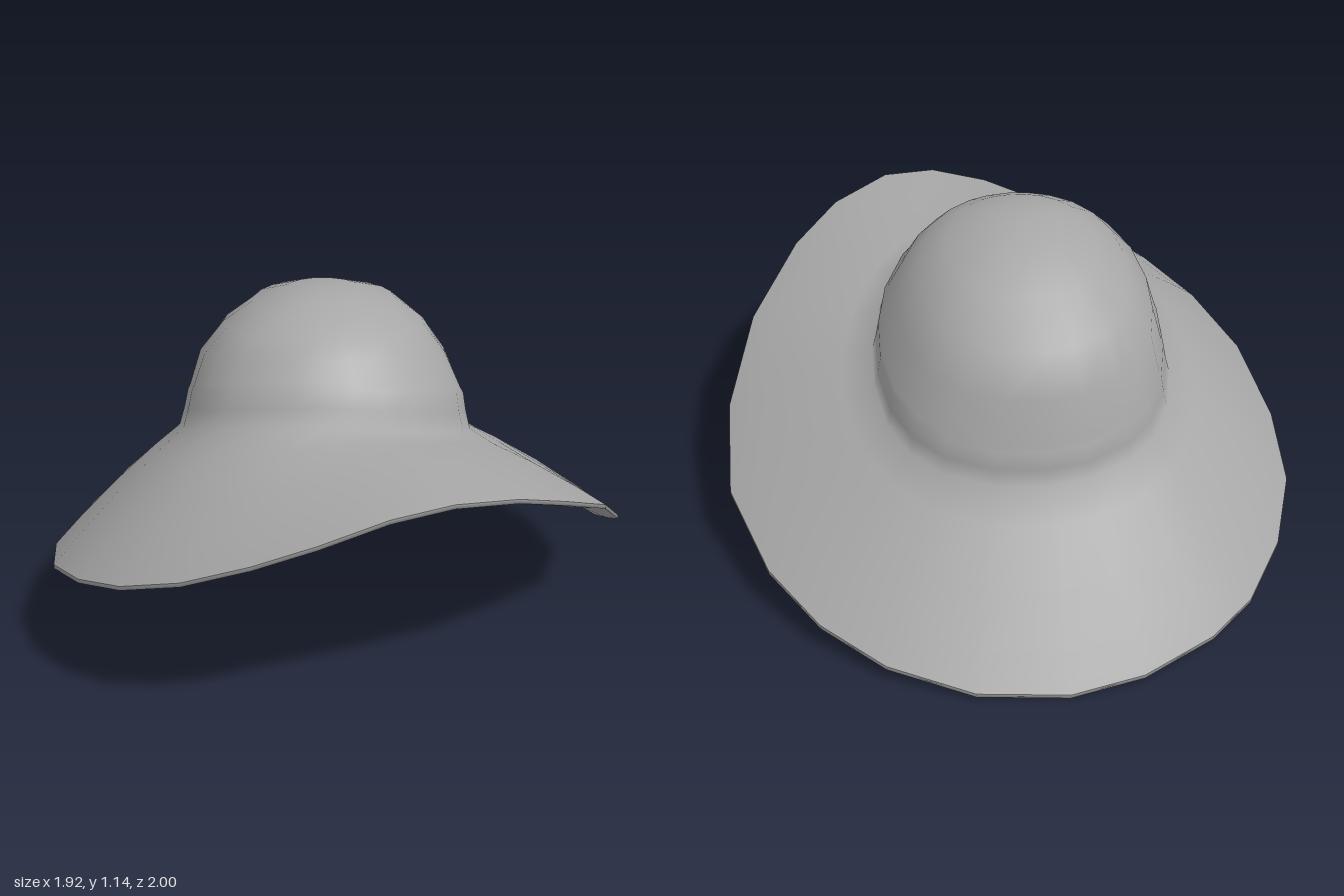
import * as THREE from 'three';
import { mergeVertices } from 'three/addons/utils/BufferGeometryUtils.js';

// Brim edge, going back -> left -> front -> right: x, y, z
const RIM = [
  [-0.09, 0, -1], [0.2, 0.015, -0.98], [0.47, 0.05, -0.87], [0.67, 0.1, -0.72],
  [0.83, 0.165, -0.52], [0.955, 0.26, -0.22], [0.96, 0.38, 0.1], [0.87, 0.56, 0.38],
  [0.71, 0.7, 0.64], [0.56, 0.78, 0.79], [0.37, 0.82, 0.91], [0.19, 0.8, 0.97],
  [-0.01, 0.73, 1], [-0.2, 0.65, 0.98], [-0.41, 0.56, 0.92], [-0.61, 0.47, 0.79],
  [-0.77, 0.395, 0.62], [-0.9, 0.31, 0.38], [-0.96, 0.22, 0.07], [-0.95, 0.155, -0.22],
  [-0.86, 0.1, -0.48], [-0.72, 0.06, -0.7], [-0.57, 0.035, -0.83], [-0.33, 0.01, -0.95],
].map((p) => new THREE.Vector3(...p));

// Tilted rings: back z, back y, front z, front y, min x, max x, sag at the sides
const CROWN = [
  [-0.04, 1.143, -0.04, 1.143, -0.04, -0.04, 0],
  [-0.2, 1.12, 0.1, 1.137, -0.16, 0.08, 0],
  [-0.36, 1.06, 0.2, 1.112, -0.27, 0.2, 0],
  [-0.49, 0.94, 0.28, 1.075, -0.37, 0.295, 0],
  [-0.555, 0.81, 0.335, 1.03, -0.45, 0.37, 0.02],
  [-0.57, 0.65, 0.37, 0.975, -0.488, 0.425, 0.04],
];
const BAND = [
  [-0.588, 0.64, 0.395, 0.965, -0.495, 0.435, 0.045],
  [-0.592, 0.575, 0.422, 0.91, -0.508, 0.445, 0.045],
  [-0.592, 0.51, 0.445, 0.855, -0.525, 0.46, 0.045],
];

// Underside, from the rim inwards: way to the middle, hollow, lip depth
const UNDERSIDE = [
  [0.04, 0, 0.012], [0.08, 0.005, 0.02], [0.13, 0.035, 0.015], [0.19, 0.075, 0.01],
  [0.3, 0.125, 0], [0.45, 0.14, 0], [0.6, 0.115, 0], [0.8, 0.06, 0], [1, 0, 0],
];
const MIDDLE = new THREE.Vector3(-0.03, 0.65, -0.03);

// Angles around the crown that line up with the brim corners
const ANGLES = RIM.map((p) => Math.atan2((p.x + 0.04) / 0.48, (p.z + 0.07) / 0.52));

// Slightly squared oval, tilted front to back
function ring([z0, y0, z1, y1, x0, x1, sag]) {
  return ANGLES.map((a) => {
    const s = Math.sin(a), c = Math.cos(a);
    const square = 1 + 0.04 * Math.sin(2 * a) ** 2;
    return new THREE.Vector3(
      (x0 + x1) / 2 + (x1 - x0) / 2 * s * square,
      (y0 + y1) / 2 + (y1 - y0) / 2 * c - sag * s * s,
      (z0 + z1) / 2 + (z1 - z0) / 2 * c * square);
  });
}

// Brim ring between neck and rim, lifted a little at the sides
const brimRing = (neck, rim, t) => neck.map((p, i) => {
  const q = p.clone().lerp(rim[i], t);
  q.y += 0.08 * t * (1 - t) * Math.sin(ANGLES[i]) ** 2;
  return q;
});

// Underside ring: hollowed most where the rim hangs lowest
const undersideRing = ([t, hollow, lip]) => RIM.map((p) => {
  const q = p.clone().lerp(MIDDLE, t);
  q.y += hollow * (1 - 0.85 * p.y) - lip * Math.min(1, p.y * 2);
  return q;
});

// Smooth skin through closed rings of points
function loft(rows) {
  const n = RIM.length, index = [];
  for (let r = 0; r < rows.length - 1; r++) {
    for (let i = 0; i < n; i++) {
      const j = (i + 1) % n;
      const a = r * n + i, b = r * n + j, c = a + n, d = b + n;
      index.push(c, a, d, a, b, d);
    }
  }
  const geometry = new THREE.BufferGeometry().setFromPoints(rows.flat());
  geometry.setIndex(index);
  const merged = mergeVertices(geometry, 1e-5);
  merged.computeVertexNormals();
  return merged;
}

export function createModel() {
  const hat = new THREE.Group();
  hat.name = 'sunHat';
  const felt = new THREE.MeshStandardMaterial({ color: 0xa8a8a8, side: THREE.DoubleSide });
  felt.name = 'greyFelt';

  const add = (name, rows) => {
    const mesh = new THREE.Mesh(loft(rows), felt);
    mesh.name = name;
    hat.add(mesh);
  };

  const neck = ring(BAND[2]);
  const rimTop = RIM.map((p) => p.clone().setY(p.y + 0.014));

  // Dome, raised band and sloping brim share one smooth skin
  add('crownAndBrim', [
    ...CROWN.map(ring),
    ...BAND.map(ring),
    ...[0.2, 0.5, 0.8, 0.95].map((t) => brimRing(neck, rimTop, t)),
    rimTop,
  ]);

  // Thin brim edge, inner lip and shallow hollow underneath
  add('underside', [rimTop, RIM, ...UNDERSIDE.map(undersideRing)]);

  return hat;
}
